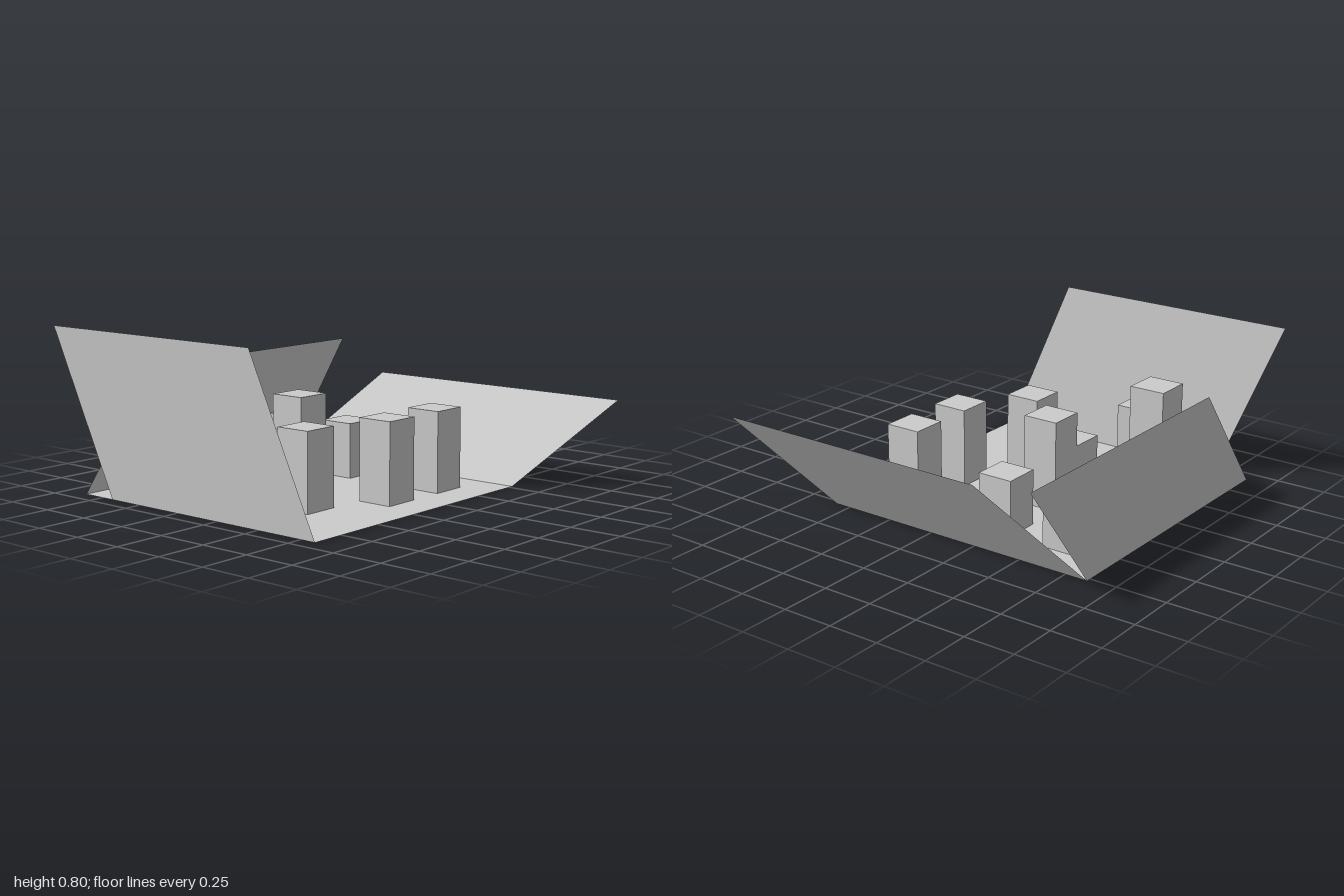
import * as THREE from 'three';
import { mergeGeometries } from 'three/addons/utils/BufferGeometryUtils.js';

const X0 = -0.92, X1 = 0.525, Z0 = -0.865, Z1 = 0.58, N = 8;
const CX = (X1 - X0) / N, CZ = (Z1 - Z0) / N;

// Towers on the floor grid: [column, row, height]
const TOWERS = [
  [2, 1, 0.57], [6, 1, 0.27], [1, 2, 0.385], [3, 3, 0.28], [4, 3, 0.45],
  [6, 3, 0.275], [2, 5, 0.38], [6, 5, 0.1], [4, 6, 0.395], [6, 6, 0.395],
];

const cellCentre = (col, row) => [X0 + (col + 0.5) * CX, Z0 + (row + 0.5) * CZ];

// Slanted parallelogram: base edge a-b, swept by one lean vector
function panelGeometry(a, b, lean) {
  const va = new THREE.Vector3(...a), vb = new THREE.Vector3(...b), d = new THREE.Vector3(...lean);
  const g = new THREE.BufferGeometry().setFromPoints([va, vb, vb.clone().add(d), va.clone().add(d)]);
  g.setIndex([0, 1, 2, 0, 2, 3]);
  g.computeVertexNormals();
  return g;
}

// Box without its underside
function openBox(w, h, d) {
  const g = new THREE.BoxGeometry(w, h, d);
  const index = Array.from(g.index.array);
  index.splice(18, 6);
  g.setIndex(index);
  g.clearGroups();
  return g.translate(0, h / 2, 0);
}

export function createModel() {
  const group = new THREE.Group();
  const material = new THREE.MeshStandardMaterial({
    color: 0xcccccc, flatShading: true, side: THREE.DoubleSide,
  });
  const add = (name, geometry) => {
    const mesh = new THREE.Mesh(geometry, material);
    mesh.name = name;
    group.add(mesh);
    return mesh;
  };

  // Floor tiles, left open beneath the hollow towers
  const tiles = [];
  for (let col = 0; col < N; col++) {
    for (let row = 0; row < N; row++) {
      if (TOWERS.some(([c, r]) => c === col && r === row)) continue;
      const [x, z] = cellCentre(col, row);
      tiles.push(new THREE.PlaneGeometry(CX, CZ).rotateX(-Math.PI / 2).translate(x, 0, z));
    }
  }
  add('floor', mergeGeometries(tiles));

  // Hollow square towers
  TOWERS.forEach(([col, row, h], i) => {
    const [x, z] = cellCentre(col, row);
    add(`tower${i + 1}`, openBox(CX, h, CZ)).position.set(x, 0, z);
  });

  // Three leaning walls
  add('rightWall', panelGeometry([X0, 0, Z1], [X0, 0, -0.68], [-0.055, 0.8, -0.32]));
  add('leftWall', panelGeometry([X1, 0, Z0], [X1, 0, Z1], [0.265, 0.435, 0.42]));
  add('backWall', panelGeometry([X0, 0, Z0], [X1, 0, Z0], [0.445, 0.565, -0.01]));

  return group;
}
